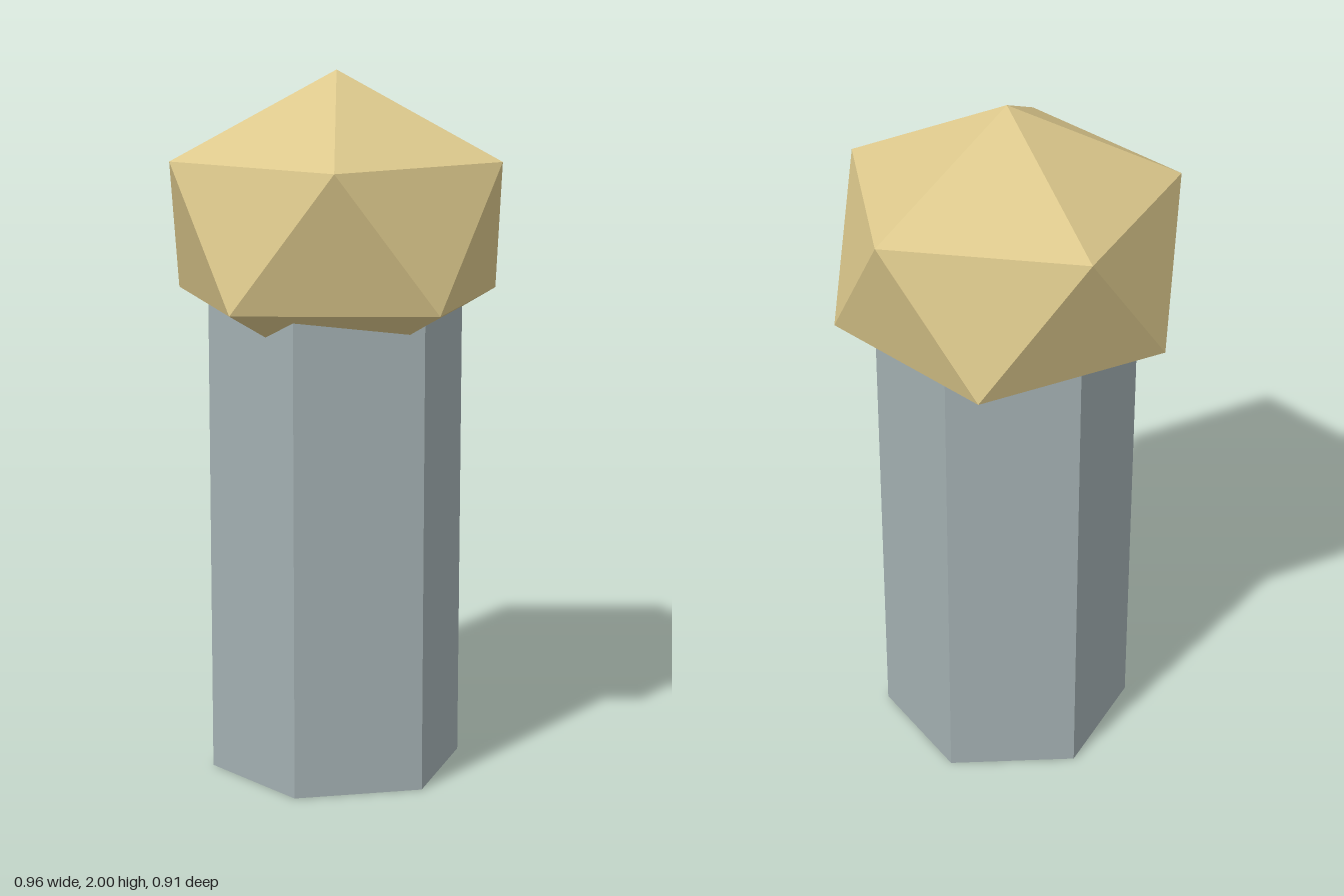
import * as THREE from 'three';

export function createModel() {
  const group = new THREE.Group();
  const headCentre = 1.565;

  function addPart(name, geometry, color, y) {
    const material = new THREE.MeshStandardMaterial({ color, flatShading: true });
    const mesh = new THREE.Mesh(geometry, material);
    mesh.name = name;
    mesh.position.y = y;
    group.add(mesh);
  }

  // Hexagonal post, its top hidden inside the head
  addPart('post', new THREE.CylinderGeometry(0.365, 0.365, headCentre, 6), 0xa3b0b2, headCentre / 2);

  // Icosahedron standing on a corner, slightly squashed in height
  const head = new THREE.IcosahedronGeometry(1, 0);
  head.rotateZ(-Math.atan(2 / (1 + Math.sqrt(5))));
  head.scale(0.535, 0.435, 0.535);
  addPart('head', head, 0xdcc88c, headCentre);

  return group;
}
